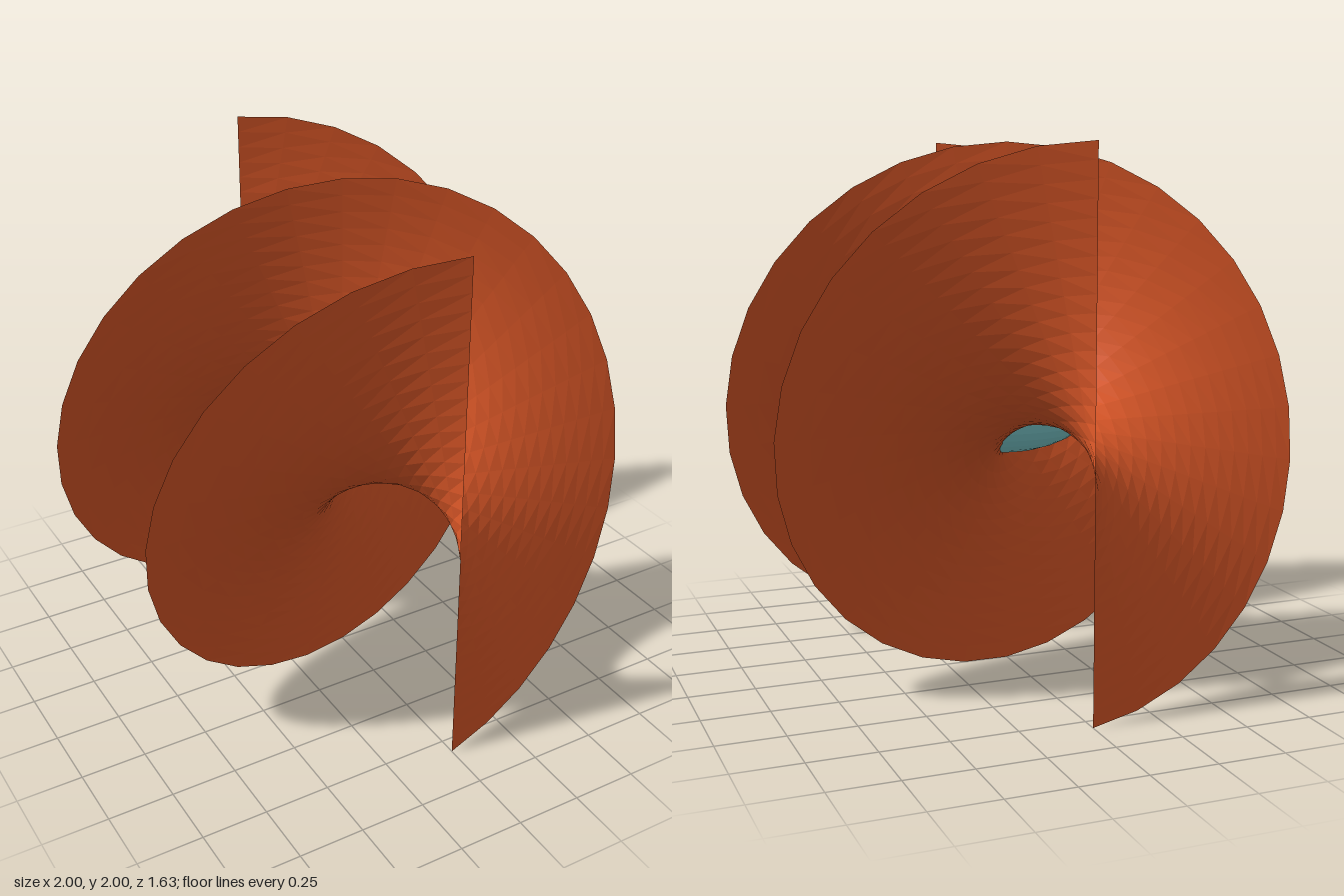
import * as THREE from 'three';
import { ParametricGeometry } from 'three/addons/geometries/ParametricGeometry.js';

const HALF_DEPTH = 0.815;
const STEPS = 32;

function coloured(color) {
  return new THREE.MeshStandardMaterial({ color, flatShading: true, side: THREE.DoubleSide });
}

export function createModel() {
  const model = new THREE.Group();

  // Helicoid sheet: a full-width line making one turn along the z axis
  const sheet = new ParametricGeometry((u, v, target) => {
    const angle = (v * 2 - 1) * Math.PI;
    const r = u * 2 - 1;
    target.set(r * Math.sin(angle), r * Math.cos(angle), (v * 2 - 1) * HALF_DEPTH);
  }, STEPS, STEPS);
  const helicoid = new THREE.Mesh(sheet, coloured(0xe65c2a));
  helicoid.name = 'helicoidSheet';
  helicoid.position.y = 1;
  model.add(helicoid);

  // Ellipsoid core, cut through by the sheet
  const core = new THREE.SphereGeometry(1, 32, 16);
  core.scale(0.345, 0.173, 0.26);
  const ellipsoid = new THREE.Mesh(core, coloured(0x88dfe2));
  ellipsoid.name = 'ellipsoidCore';
  ellipsoid.position.y = 1;
  model.add(ellipsoid);

  return model;
}
